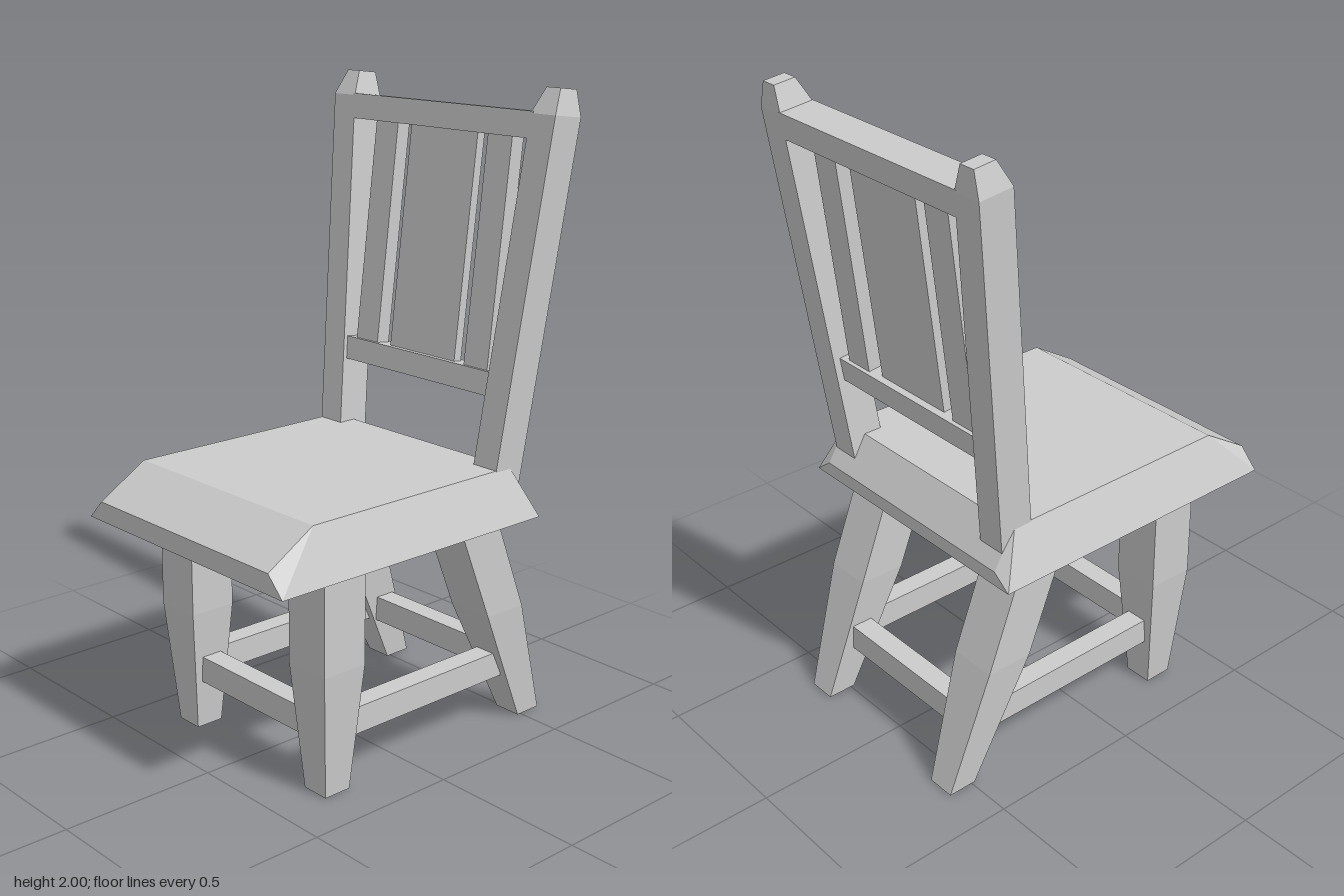
import * as THREE from 'three';
import { ConvexGeometry } from 'three/addons/geometries/ConvexGeometry.js';

const material = new THREE.MeshStandardMaterial({ color: 0xcccccc, flatShading: true });

function add(parent, name, geometry, x = 0, y = 0, z = 0) {
  const mesh = new THREE.Mesh(geometry, material);
  mesh.name = name;
  mesh.position.set(x, y, z);
  parent.add(mesh);
  return mesh;
}

// Four-sided bar through rectangular sections [y, xMin, xMax, zMin, zMax], bottom to top
function bar(sections) {
  const positions = [], index = [];
  for (const [y, x0, x1, z0, z1] of sections) {
    positions.push(x0, y, z1, x1, y, z1, x1, y, z0, x0, y, z0);
  }
  for (let s = 0; s < sections.length - 1; s++) {
    for (let i = 0; i < 4; i++) {
      const a = s * 4 + i, b = s * 4 + (i + 1) % 4;
      index.push(a, b, b + 4, a, b + 4, a + 4);
    }
  }
  const t = (sections.length - 1) * 4;
  index.push(0, 2, 1, 0, 3, 2, t, t + 1, t + 2, t, t + 2, t + 3);
  const indexed = new THREE.BufferGeometry();
  indexed.setAttribute('position', new THREE.Float32BufferAttribute(positions, 3));
  indexed.setIndex(index);
  const geometry = indexed.toNonIndexed();
  geometry.computeVertexNormals();
  return geometry;
}

// The same bar on either side: swaps the x range for the right-hand copy
const sided = (side, sections) => bar(sections.map(([y, a, b, ...z]) =>
  side > 0 ? [y, a, b, ...z] : [y, -b, -a, ...z]));

const box = (w, h, d) => new THREE.BoxGeometry(w, h, d);

export function createModel() {
  const chair = new THREE.Group();
  chair.name = 'chair';

  // Seat: bevelled slab, widest along its underside
  const corners = [];
  for (const [halfWidth, y, z] of [
    [0.455, 0.715, 0.58], [0.395, 0.777, 0.58], [0.395, 0.875, 0.42],
    [0.395, 0.875, -0.365], [0.395, 0.76, -0.44], [0.455, 0.715, -0.44],
  ]) {
    corners.push(new THREE.Vector3(halfWidth, y, z), new THREE.Vector3(-halfWidth, y, z));
  }
  add(chair, 'seat', new ConvexGeometry(corners));

  for (const side of [1, -1]) {
    const label = side > 0 ? 'left' : 'right';

    // Legs: straight above, tapered below; the rear pair rakes backwards
    add(chair, label + 'FrontLeg', sided(side, [
      [0, 0.26, 0.352, 0.245, 0.338],
      [0.4, 0.23, 0.385, 0.215, 0.37],
      [0.72, 0.23, 0.385, 0.215, 0.37],
    ]));
    add(chair, label + 'BackLeg', sided(side, [
      [0, 0.26, 0.352, -0.582, -0.488],
      [0.4, 0.23, 0.385, -0.453, -0.3],
      [0.72, 0.23, 0.385, -0.328, -0.17],
    ]));

    // Side stretcher
    add(chair, label + 'Stretcher', box(0.07, 0.085, 0.68), side * 0.307, 0.202, -0.07);
  }

  // Front and back stretchers
  add(chair, 'frontStretcher', box(0.52, 0.085, 0.07), 0, 0.202, 0.292);
  add(chair, 'backStretcher', box(0.52, 0.085, 0.07), 0, 0.202, -0.455);

  // Backrest: built upright, then leaned back from the seat
  const backrest = new THREE.Group();
  backrest.name = 'backrest';
  backrest.position.set(0, 0.875, -0.3575);
  backrest.rotation.x = -0.118;
  chair.add(backrest);

  for (const side of [1, -1]) {
    const label = side > 0 ? 'left' : 'right';
    // Flared post with a tapered tip
    add(backrest, label + 'Post', sided(side, [
      [-0.075, 0.298, 0.392, -0.06, 0.052],
      [1.052, 0.375, 0.47, -0.06, 0.052],
      [1.13, 0.398, 0.451, -0.05, 0.021],
    ]));
    add(backrest, label + 'Slat', box(0.098, 0.74, 0.05), side * 0.242, 0.63, 0);
  }
  add(backrest, 'centreSlat', box(0.285, 0.74, 0.03), 0, 0.63, 0);
  add(backrest, 'topRail', box(0.77, 0.078, 0.112), 0, 1.019, -0.004);
  add(backrest, 'lowerRail', box(0.65, 0.074, 0.075), 0, 0.243, 0);

  return chair;
}
